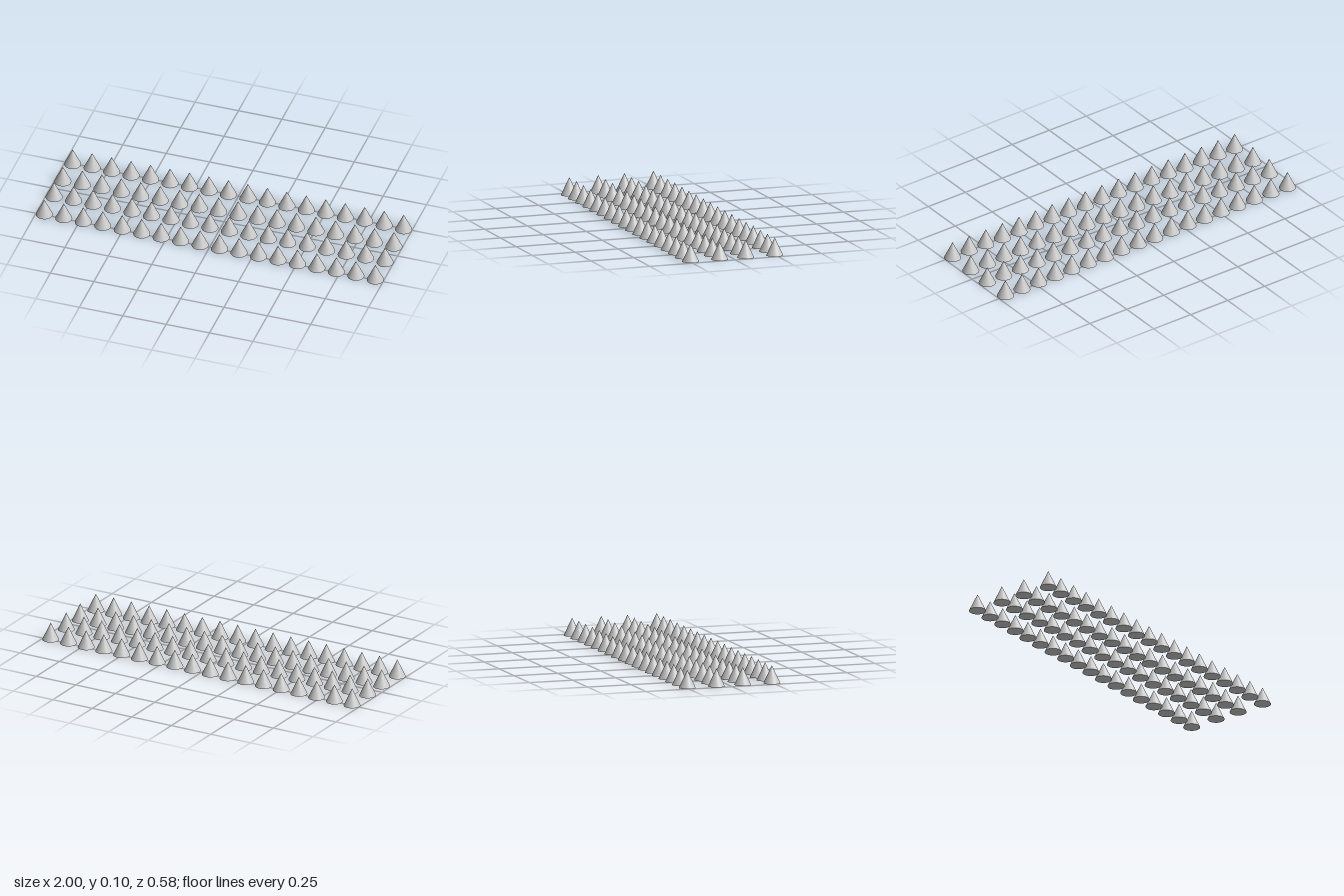
import * as THREE from 'three';

const RADIUS = 0.0464, HEIGHT = 0.099;
const COLUMNS = 18;
const ROWS = [0.245, 0.076, -0.076, -0.245];

export function createModel() {
  const model = new THREE.Group();
  model.name = 'coneField';
  const material = new THREE.MeshStandardMaterial({ color: 0xcccccc });

  // One closed cone standing on the ground, shared by every copy
  const geometry = new THREE.ConeGeometry(RADIUS, HEIGHT, 48);
  geometry.translate(0, HEIGHT / 2, 0);

  // Four rows, two pairs mirrored front to back
  const firstX = -1 + RADIUS;
  const step = -2 * firstX / (COLUMNS - 1);
  ROWS.forEach((z, r) => {
    const row = new THREE.Group();
    row.name = `coneRow${r + 1}`;
    row.position.z = z;
    for (let c = 0; c < COLUMNS; c++) {
      const cone = new THREE.Mesh(geometry, material);
      cone.name = `cone${c + 1}`;
      cone.position.x = firstX + c * step;
      row.add(cone);
    }
    model.add(row);
  });
  return model;
}
